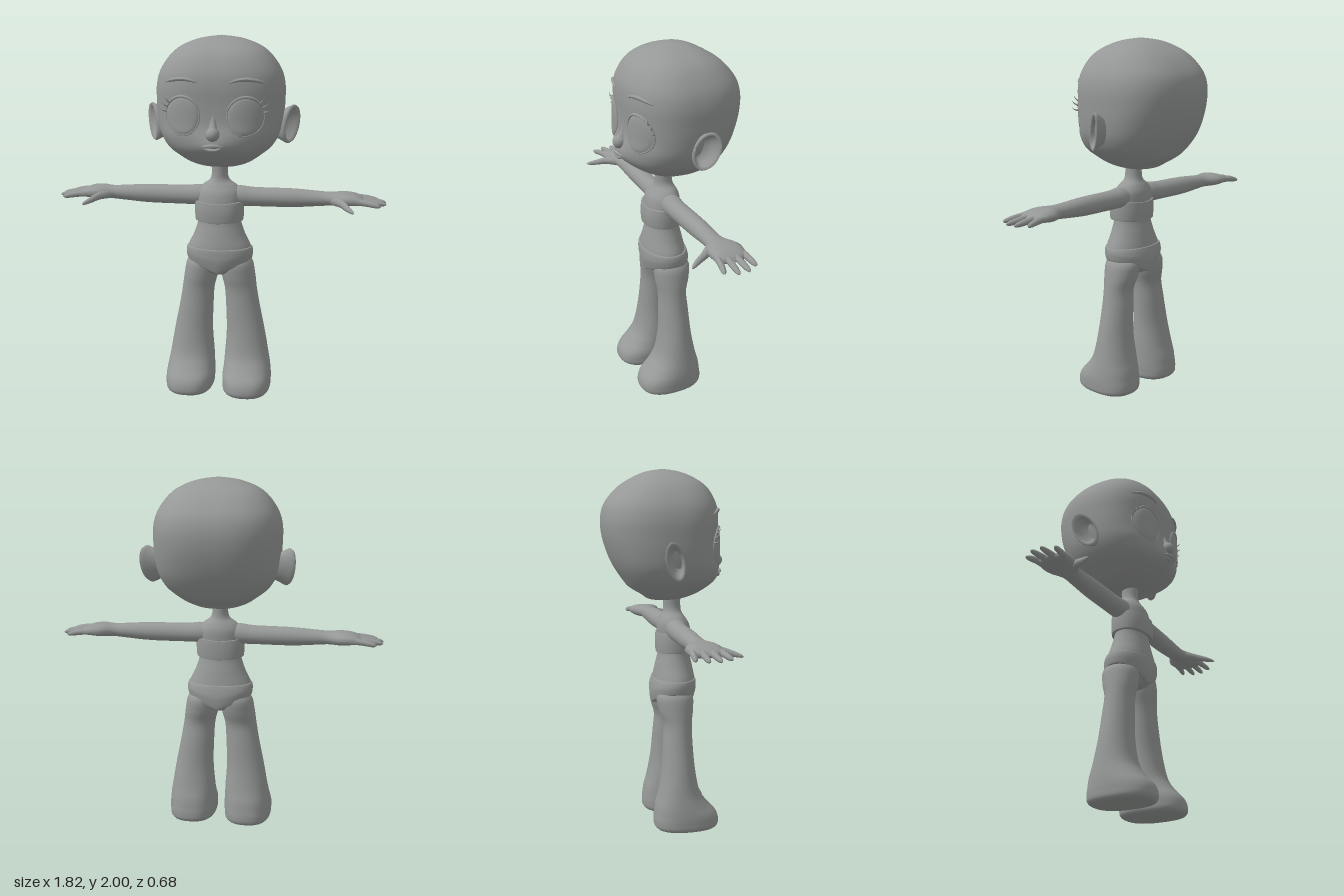
import * as THREE from 'three';

const skin = new THREE.MeshStandardMaterial({ color: 0x959896 });
skin.name = 'plain grey';

function mesh(name, geometry, parent) {
  const m = new THREE.Mesh(geometry, skin);
  m.name = name;
  parent.add(m);
  return m;
}

// Smooth interpolation through rows of numbers, t in 0..1
function sample(rows, t) {
  const f = t * (rows.length - 1), i = Math.min(Math.floor(f), rows.length - 2), u = f - i;
  const at = k => rows[Math.max(0, Math.min(rows.length - 1, k))];
  return rows[i].map((_, c) => {
    const a = at(i - 1)[c], b = at(i)[c], d = at(i + 1)[c], e = at(i + 2)[c];
    return b + 0.5 * u * (d - a + u * (2 * a - 5 * b + 4 * d - e + u * (3 * (b - d) + e - a)));
  });
}

// Skin over cross-sections [height, cx, cz, rx, rzFront, rzBack, roundness]
function loft(rows, warp, sub = 5, sides = 48) {
  const pos = [], idx = [], steps = (rows.length - 1) * sub;
  for (let j = 0; j <= steps; j++) {
    const [y, cx, cz, rx, zf, zb, n] = sample(rows, j / steps);
    for (let i = 0; i < sides; i++) {
      const a = i / sides * Math.PI * 2, c = Math.cos(a), s = Math.sin(a);
      const rz = Math.max(s > 0 ? zf : zb, 1e-3), rX = Math.max(rx, 1e-3);
      const r = Math.pow(Math.pow(Math.abs(c / rX), n) + Math.pow(Math.abs(s / rz), n), -1 / n);
      const p = new THREE.Vector3(cx + c * r, y, cz + s * r);
      if (warp) warp(p);
      pos.push(p.x, p.y, p.z);
      if (j < steps) {
        const k = j * sides + i, l = j * sides + (i + 1) % sides;
        idx.push(k, k + sides, l, l, k + sides, l + sides);
      }
    }
  }
  const g = new THREE.BufferGeometry();
  g.setAttribute('position', new THREE.Float32BufferAttribute(pos, 3));
  g.setIndex(idx);
  g.computeVertexNormals();
  return g;
}

// Tube whose thickness follows a rule along its length
function taper(points, radius, rule, seg = 20) {
  const curve = new THREE.CatmullRomCurve3(points);
  const g = new THREE.TubeGeometry(curve, seg, radius, 10), p = g.attributes.position;
  const v = new THREE.Vector3();
  for (let i = 0; i < p.count; i++) {
    const t = Math.floor(i / 11) / seg, c = curve.getPointAt(t);
    v.fromBufferAttribute(p, i).sub(c).multiplyScalar(Math.max(0.02, rule(t))).add(c);
    p.setXYZ(i, v.x, v.y, v.z);
  }
  g.computeVertexNormals();
  return g;
}
const spindle = t => Math.sqrt(Math.sin(Math.PI * t) + 1e-6);
const finger = t => (1 - 0.25 * t) * Math.sqrt(Math.max(0, 1 - Math.pow(t, 8)));
const V = (x, y, z) => new THREE.Vector3(x, y, z);

// Head profile: height, half width, front depth, back depth
const headRows = [
  [1.288, .002, .002, .002], [1.295, .09, .09, .08], [1.32, .165, .165, .12], [1.36, .225, .235, .185],
  [1.41, .285, .285, .225], [1.48, .325, .3, .27], [1.56, .342, .288, .305], [1.65, .348, .287, .33],
  [1.74, .347, .29, .335], [1.82, .325, .278, .312], [1.9, .27, .235, .245], [1.95, .205, .17, .17],
  [1.985, .11, .09, .09], [2, .002, .002, .002],
].map(([y, w, f, b]) => [y, 0, 0, w, f, b, 2.5]);
const muzzle = (x, y) => 0.022 * Math.exp(-x * x / 0.008 - (y - 1.435) ** 2 / 0.0025);

// Depth of the face at a given x and y
function faceZ(x, y) {
  let a = 0, b = 1;
  for (let i = 0; i < 24; i++) {
    const m = (a + b) / 2;
    if (sample(headRows, m)[0] < y) a = m; else b = m;
  }
  const r = sample(headRows, a);
  return r[4] * Math.pow(Math.max(0, 1 - Math.pow(Math.abs(x) / r[3], r[6])), 1 / r[6]) + muzzle(x, y);
}
const onFace = (x, y, lift = 0) => V(x, y, faceZ(x, y) + lift);

function faceSide() {
  const g = new THREE.Group();
  const ex = .167, ey = 1.592, rx = .094, ry = .1;
  const rim = (deg, k = 1, lift = 0) => {
    const a = deg * Math.PI / 180;
    return onFace(ex + rx * k * Math.cos(a), ey + ry * k * Math.sin(a), lift);
  };
  // Domed eye laid on the face
  const eye = new THREE.RingGeometry(0.001, 1, 40, 10), p = eye.attributes.position;
  for (let i = 0; i < p.count; i++) {
    const u = p.getX(i), v = p.getY(i), d = Math.sqrt(Math.max(0, 1 - u * u - v * v));
    const q = onFace(ex + rx * u, ey + ry * v, 0.001 + 0.014 * d);
    p.setXYZ(i, q.x, q.y, q.z);
  }
  eye.computeVertexNormals();
  mesh('eye', eye, g);
  const loop = [];
  for (let d = 0; d < 360; d += 15) loop.push(rim(d));
  mesh('eyeRim', new THREE.TubeGeometry(new THREE.CatmullRomCurve3(loop, true), 48, .005, 8, true), g);
  const lid = [];
  for (let d = 5; d <= 170; d += 15) lid.push(rim(d, 1.02, .003));
  mesh('upperLashLine', taper(lid, .008, spindle, 30), g);
  // Outer lashes
  for (const [d, l] of [[12, .035], [27, .045], [42, .04]]) {
    const s = rim(d, 1.0, .002), a = (d + 8) * Math.PI / 180;
    const e = V(s.x + l * Math.cos(a), s.y + l * Math.sin(a) + .004, s.z + .018);
    const mid = s.clone().lerp(e, .5).add(V(.002, -.003, .004));
    mesh('lash', taper([s, mid, e], .006, t => 1 - t, 8), g);
  }
  const brow = [[.082, 1.766], [.12, 1.779], [.17, 1.784], [.22, 1.777], [.265, 1.763]];
  mesh('eyebrow', taper(brow.map(([x, y]) => onFace(x, y, .002)), .011, spindle), g);

  // Cupped ear, leaning back and flaring away from the head
  const profile = [[.6, -.1], [.75, -.04], [.94, 0], [1, .014], [.93, .025], [.8, .012], [.62, -.02], [.3, -.03], [.001, -.03]];
  const ear = new THREE.LatheGeometry(profile.map(q => new THREE.Vector2(...q)), 40);
  ear.scale(.107, 1, .058).rotateZ(-Math.PI / 2).rotateX(-.28);
  const e = ear.attributes.position;
  for (let i = 0; i < e.count; i++) e.setX(i, e.getX(i) - e.getZ(i) * .6);
  ear.translate(.368, 1.525, -.015).computeVertexNormals();
  mesh('ear', ear, g);
  return g;
}

function limbs() {
  const g = new THREE.Group();
  mesh('leg', loft([
    [.006, .163, .1, .002, .002, .002, 2.5], [.006, .163, .1, .1, .14, .14, 2.5],
    [.022, .163, .1, .131, .178, .178, 2.5], [.06, .163, .099, .136, .183, .183, 2.5],
    [.1, .162, .094, .137, .172, .174, 2.4], [.15, .161, .075, .132, .145, .148, 2.3],
    [.22, .157, .06, .124, .115, .115, 2.2], [.35, .15, .058, .109, .093, .093, 2],
    [.5, .133, .058, .096, .083, .083, 2], [.6, .121, .06, .091, .08, .08, 2],
    [.68, .106, .054, .095, .097, .097, 2], [.76, .095, .05, .088, .1, .1, 2], [.81, .09, .05, .04, .05, .05, 2],
  ]), g);

  // Arm and palm, laid along x: [x, cz, cy, rz, top, bottom, roundness]
  const along = p => p.set(p.y, p.z, p.x);
  mesh('arm', loft([
    [.02, .055, 1.13, .002, .002, .002, 2], [.04, .055, 1.13, .05, .045, .045, 2],
    [.11, .055, 1.13, .057, .058, .056, 2], [.2, .052, 1.127, .054, .053, .053, 2],
    [.4, .048, 1.127, .052, .051, .052, 2], [.54, .047, 1.127, .049, .042, .042, 2],
    [.61, .047, 1.128, .054, .037, .037, 2], [.68, .043, 1.13, .088, .037, .038, 2.2],
    [.74, .043, 1.129, .091, .03, .03, 2.4], [.785, .045, 1.122, .083, .018, .018, 2.4],
    [.805, .045, 1.12, .002, .002, .002, 2],
  ], along, 5, 32), g);
  for (const [z0, x1, z1] of [[-.024, .872, -.04], [.02, .91, .017], [.065, .912, .075], [.108, .88, .138]])
    mesh('finger', taper([V(.73, 1.128, z0), V(.8, 1.123, z0 * .6 + z1 * .4), V(x1, 1.11, z1)], .019, finger), g);
  mesh('thumb', taper([V(.62, 1.125, .07), V(.675, 1.118, .135), V(.705, 1.105, .19), V(.738, 1.092, .24)], .029,
    t => (1 - .45 * t) * finger(t)), g);
  return g;
}

export function createModel() {
  const model = new THREE.Group();
  model.name = 'figure';

  mesh('head', loft(headRows, p => { if (p.z > 0) p.z += muzzle(p.x, p.y); }, 6, 72), model);
  const nose = new THREE.SphereGeometry(1, 28, 20).scale(.037, .037, .04).translate(0, 1.502, .304);
  mesh('nose', nose, model);
  mesh('noseBridge', taper([onFace(0, 1.6, -.012), onFace(0, 1.55, -.006), V(0, 1.505, .305)], .028, t => .4 + .6 * t), model);
  const lip = (y, w, bow, lift) => [-1, -.5, 0, .5, 1].map(k => onFace(k * w, y + bow * (1 - k * k), lift * (1 - .6 * k * k)));
  mesh('upperLip', taper(lip(1.437, .06, .007, .008), .011, spindle), model);
  mesh('lowerLip', taper(lip(1.432, .048, -.012, .006), .011, spindle), model);

  mesh('torsoAndNeck', loft([
    [.675, 0, .055, .002, .002, .002, 2], [.685, 0, .055, .06, .06, .06, 2], [.72, 0, .055, .12, .105, .1, 2],
    [.78, 0, .057, .172, .115, .115, 2], [.84, 0, .063, .178, .117, .115, 2], [.92, 0, .063, .142, .103, .1, 2],
    [1, 0, .065, .119, .086, .086, 2], [1.08, 0, .067, .126, .095, .094, 2], [1.15, 0, .06, .122, .09, .088, 2],
    [1.19, 0, .056, .096, .07, .07, 2], [1.22, 0, .055, .056, .053, .053, 2], [1.26, 0, .055, .044, .048, .048, 2],
    [1.34, 0, .055, .046, .05, .05, 2],
  ]), model);

  // Strapless top with turned-in edges, its hem dipping at the sides
  mesh('bandeau', loft([
    [1, 0, .068, .11, .08, .08, 2.2], [.998, 0, .068, .129, .1, .098, 2.2], [1.006, 0, .068, .134, .105, .102, 2.2],
    [1.055, 0, .068, .137, .108, .104, 2.2], [1.1, 0, .068, .135, .103, .102, 2.2],
    [1.107, 0, .068, .131, .099, .098, 2.2], [1.106, 0, .068, .11, .08, .08, 2.2],
  ], p => { p.y -= .008 * (1 - Math.abs(p.x) / .137); }), model);

  // Briefs cut high at the hips
  mesh('briefs', loft([
    [.7, 0, .058, .15, .09, .09, 2.1], [.7, 0, .058, .178, .105, .112, 2.1], [.715, 0, .058, .184, .115, .122, 2.1],
    [.77, 0, .058, .188, .127, .128, 2.1], [.81, 0, .06, .187, .126, .125, 2.1], [.838, 0, .062, .183, .122, .12, 2.1],
    [.846, 0, .062, .177, .116, .114, 2.1], [.844, 0, .062, .15, .09, .09, 2.1],
  ], p => {
    const hem = .7 + .075 * Math.min(1, Math.abs(p.x) / .18);
    p.y = .846 - (.846 - p.y) / .146 * (.846 - hem);
  }), model);

  // Paired parts
  for (const [side, s] of [['left', 1], ['right', -1]]) {
    for (const [name, make] of [['Face', faceSide], ['Limbs', limbs]]) {
      const part = make();
      part.name = side + name;
      part.scale.x = s;
      model.add(part);
    }
  }
  return model;
}
